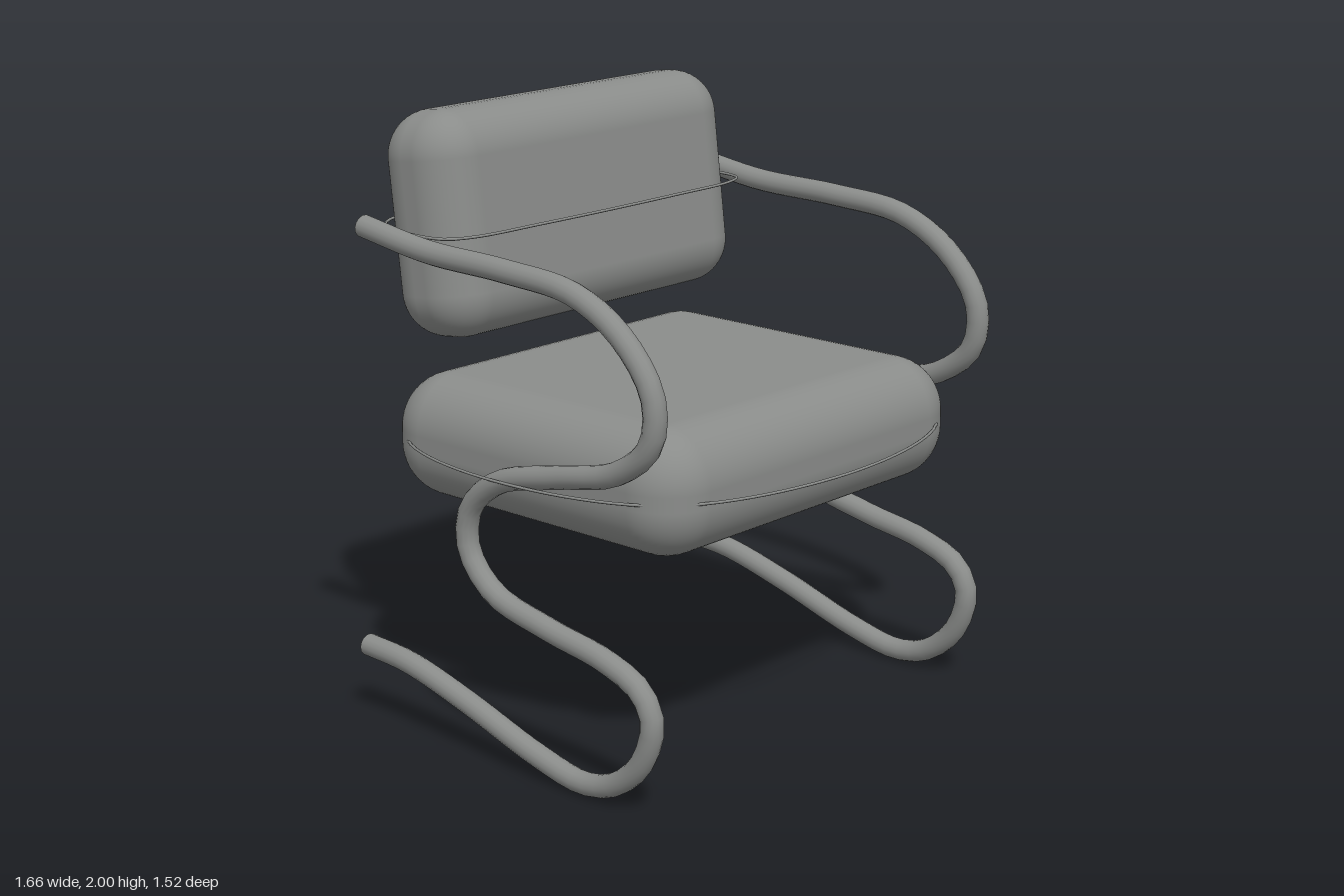
import * as THREE from 'three';
import { RoundedBoxGeometry } from 'three/addons/geometries/RoundedBoxGeometry.js';

const grey = new THREE.MeshStandardMaterial({ color: 0x8a8c8a });
grey.name = 'grey';

function add(parent, name, geometry) {
  const mesh = new THREE.Mesh(geometry, grey);
  mesh.name = name;
  parent.add(mesh);
  return mesh;
}

// Thin closed cord lying in a horizontal plane, through [x, z] points
function cord(points, y) {
  const curve = new THREE.CatmullRomCurve3(points.map(([x, z]) => new THREE.Vector3(x, y, z)), true);
  return new THREE.TubeGeometry(curve, 96, 0.005, 6, true);
}

// Side profile of the bent tube frame as [z, y], from armrest end to floor end
const PROFILE = [
  [-0.6, 1.65], [-0.31, 1.61], [0.03, 1.6], [0.32, 1.572], [0.51, 1.47], [0.626, 1.315],
  [0.615, 1.17], [0.48, 1.06], [0.24, 1.0], [-0.02, 0.93], [-0.143, 0.82], [-0.154, 0.69],
  [-0.05, 0.57], [0.19, 0.505], [0.43, 0.462], [0.573, 0.4], [0.62, 0.31], [0.578, 0.175],
  [0.47, 0.075], [0.34, 0.04], [0.14, 0.075], [-0.18, 0.172], [-0.445, 0.237], [-0.637, 0.25],
];
const TUBE_RADIUS = 0.037;

function frame(x, name) {
  const group = new THREE.Group();
  group.name = name;
  const curve = new THREE.CatmullRomCurve3(PROFILE.map(([z, y]) => new THREE.Vector3(x, y, z)));
  add(group, 'frameTube', new THREE.TubeGeometry(curve, 90, TUBE_RADIUS, 14, false));
  // Flat caps at both open ends
  for (const t of [0, 1]) {
    const cap = add(group, 'frameCap', new THREE.CircleGeometry(TUBE_RADIUS, 14));
    const p = curve.getPointAt(t);
    cap.position.copy(p);
    cap.lookAt(p.clone().addScaledVector(curve.getTangentAt(t), t ? 1 : -1));
  }
  return group;
}

export function createModel() {
  const model = new THREE.Group();
  model.name = 'armchair';

  // Seat cushion
  add(model, 'seatCushion', new RoundedBoxGeometry(1.435, 0.41, 1.265, 7, 0.18)).position.y = 0.953;

  // Backrest cushion, leaning backwards
  const back = add(model, 'backCushion', new RoundedBoxGeometry(1.355, 0.73, 0.35, 7, 0.15));
  back.position.set(0, 1.635, -0.49);
  back.rotation.x = -0.12;

  // Seat cord, bowing out of the four sides and hidden in the corners
  add(model, 'seatCord', cord([
    [0, 0.758], [0.655, 0.57], [0.825, 0], [0.655, -0.57],
    [0, -0.758], [-0.655, -0.57], [-0.825, 0], [-0.655, 0.57],
  ], 0.95));

  // Back cord, wrapped around the backrest
  const half = [[0.33, -0.277], [0.6, -0.29], [0.69, -0.335], [0.71, -0.45], [0.675, -0.61], [0.59, -0.69], [0.33, -0.705]];
  const mirrored = half.map(([x, z]) => [-x, z]).reverse();
  add(model, 'backCord', cord([[0, -0.272], ...half, [0, -0.711], ...mirrored], 1.63));

  // Bent tube frames on both sides
  model.add(frame(0.785, 'leftFrame'), frame(-0.785, 'rightFrame'));
  return model;
}
